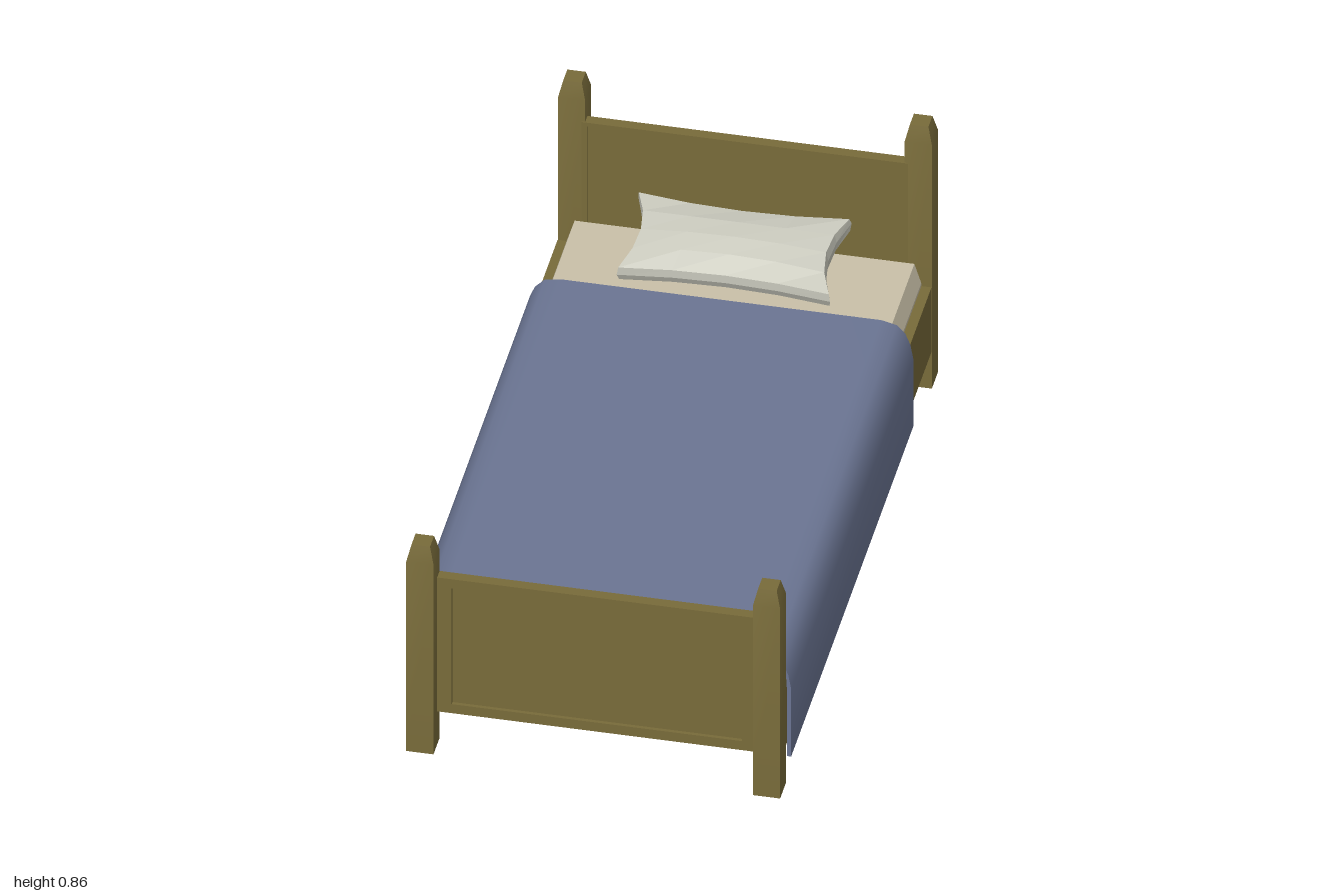
import * as THREE from 'three';
import { toCreasedNormals } from 'three/addons/utils/BufferGeometryUtils.js';

const wood = new THREE.MeshStandardMaterial({ color: 0x786b3a });
const cloth = new THREE.MeshStandardMaterial({ color: 0x6b7593 });
const linen = new THREE.MeshStandardMaterial({ color: 0xc9c0a8 });
const pillowMat = new THREE.MeshStandardMaterial({ color: 0xc8c8bc });
pillowMat.flatShading = true;

function add(parent, name, geometry, material) {
  const mesh = new THREE.Mesh(geometry, material);
  mesh.name = name;
  parent.add(mesh);
  return mesh;
}

// Box given by its lower and upper corners
function block(x0, x1, y0, y1, z0, z1) {
  return new THREE.BoxGeometry(x1 - x0, y1 - y0, z1 - z0)
    .translate((x0 + x1) / 2, (y0 + y1) / 2, (z0 + z1) / 2);
}

// Outline in x/y pushed along z
function extrude(shape, z0, z1) {
  const g = new THREE.ExtrudeGeometry(shape, { depth: z1 - z0, bevelEnabled: false });
  return g.translate(0, 0, z0);
}

const polygon = (pts) => new THREE.Shape(pts.map(([x, y]) => new THREE.Vector2(x, y)));

// Rectangular frame with a rectangular opening
function frame(w, y0, y1, iw, iy0, iy1, z0, z1) {
  const s = polygon([[-w, y0], [w, y0], [w, y1], [-w, y1]]);
  s.holes.push(polygon([[-iw, iy0], [-iw, iy1], [iw, iy1], [iw, iy0]]));
  return extrude(s, z0, z1);
}

// Square post with a tapered tip
function post(height) {
  const tip = 0.05, r = 0.0375;
  const g = new THREE.BoxGeometry(2 * r, height, 2 * r, 1, 2, 1).translate(0, height / 2, 0);
  const p = g.attributes.position;
  for (let i = 0; i < p.count; i++) {
    const y = p.getY(i);
    if (y > height - 0.01) {
      p.setX(i, p.getX(i) * 0.68);
      p.setZ(i, p.getZ(i) * 0.68);
    } else if (y > 0.01) p.setY(i, height - tip);
  }
  return toCreasedNormals(g, 0.6);
}

// End of the bed, built with its outer face towards +z
function endBoard(name, postHeight, boardTop) {
  const g = new THREE.Group();
  g.name = name;
  for (const side of [-1, 1]) {
    add(g, 'post', post(postHeight), wood).position.set(side * 0.4775, 0, 0.9625);
  }
  add(g, 'panel', block(-0.445, 0.445, 0.115, boardTop - 0.005, 0.93, 0.943), wood);
  add(g, 'outerFrame', frame(0.45, 0.11, boardTop, 0.4, 0.14, boardTop - 0.03, 0.94, 0.953), wood);
  add(g, 'innerFrame', frame(0.45, 0.11, boardTop, 0.435, 0.14, boardTop - 0.012, 0.922, 0.94), wood);
  return g;
}

// Tilted pillow with pointed corners and hollow edges
function pillowGeometry() {
  const hx = 0.29, hz = 0.135;
  const g = new THREE.BoxGeometry(2 * hx, 2, 2 * hz, 4, 2, 4);
  const p = g.attributes.position;
  for (let i = 0; i < p.count; i++) {
    const u = p.getX(i) / hx, v = p.getY(i), w = p.getZ(i) / hz;
    const rim = 1 - Math.abs(v);
    const half = 0.024 + 0.028 * (1 - w * w) * (1 - 0.6 * u * u);
    p.setXYZ(i,
      u * hx * (1 - 0.12 * (1 - w * w)) + Math.sign(u) * (Math.abs(u) > 0.99 ? 0.004 * rim : 0),
      v * half,
      w * hz * (1 - 0.14 * (1 - u * u)) + (Math.abs(w) > 0.99 ? Math.sign(w) * 0.006 * rim : 0));
  }
  return g;
}

export function createModel() {
  const bed = new THREE.Group();
  bed.name = 'bed';

  bed.add(endBoard('footboard', 0.68, 0.555));
  const head = endBoard('headboard', 0.86, 0.74);
  head.rotation.y = Math.PI;
  bed.add(head);

  // Side rails
  for (const s of [-1, 1]) {
    add(bed, 'sideRail', block(s * 0.5 - 0.015, s * 0.5 + 0.015, 0.125, 0.34, -0.92, 0.925), wood);
  }

  // Mattress with slightly sloped upper edges
  const mattress = polygon([[-0.487, 0.14], [0.487, 0.14], [0.487, 0.35],
    [0.468, 0.411], [-0.468, 0.411], [-0.487, 0.35]]);
  add(bed, 'mattress', extrude(mattress, -0.92, 0.924), linen);

  // Blanket draped over both sides, hanging unevenly
  const blanket = polygon([
    [0.528, 0.085], [0.528, 0.31], [0.52, 0.355], [0.506, 0.39], [0.482, 0.415], [0.44, 0.425],
    [-0.44, 0.425], [-0.487, 0.418], [-0.514, 0.39], [-0.527, 0.36], [-0.53, 0.31], [-0.53, 0.065],
    [-0.518, 0.065], [-0.518, 0.31], [-0.515, 0.345], [-0.502, 0.382], [-0.48, 0.406], [-0.44, 0.414],
    [0.44, 0.414], [0.474, 0.405], [0.495, 0.382], [0.508, 0.35], [0.517, 0.31], [0.517, 0.085],
  ]);
  add(bed, 'blanket', toCreasedNormals(extrude(blanket, -0.63, 0.92), 0.8), cloth);

  // Pillow leaning up towards the headboard
  const pillow = add(bed, 'pillow', pillowGeometry(), pillowMat);
  pillow.position.set(0, 0.481, -0.789);
  pillow.rotation.x = 0.24;

  return bed;
}
